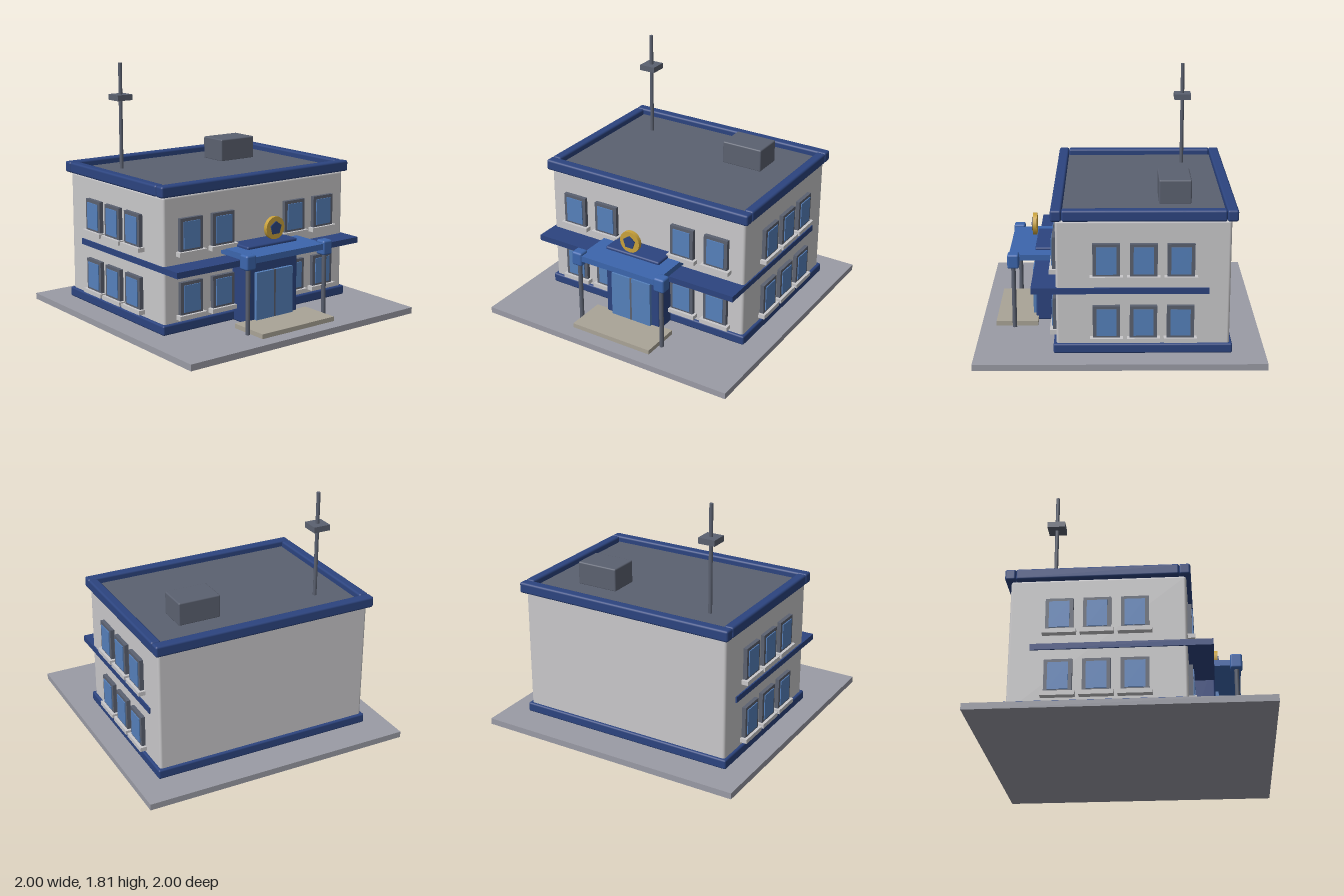
import * as THREE from 'three';
import { RoundedBoxGeometry } from 'three/addons/geometries/RoundedBoxGeometry.js';

const mat = (name, color) => {
  const m = new THREE.MeshStandardMaterial({ color });
  m.name = name;
  return m;
};

export function createModel() {
  const root = new THREE.Group();
  root.name = 'civicBuilding';
  const M = {
    paving: mat('paving grey', 0x9a9ba5),
    wall: mat('wall off-white', 0xc9c8ca),
    navy: mat('navy', 0x2c447f),
    blue: mat('canopy blue', 0x3c66ad),
    glass: mat('glass blue', 0x5580bb),
    slate: mat('slate grey', 0x5b6170),
    step: mat('step stone', 0xaaa497),
    gold: mat('gold', 0xc9a23c),
  };

  const add = (parent, name, geometry, material, x, y, z) => {
    const mesh = new THREE.Mesh(geometry, material);
    mesh.name = name;
    mesh.position.set(x, y, z);
    parent.add(mesh);
    return mesh;
  };
  // Box given by its [min, max] range on each axis; r > 0 softens the edges
  const block = (parent, name, material, [x0, x1], [y0, y1], [z0, z1], r = 0) => {
    const s = [x1 - x0, y1 - y0, z1 - z0];
    const g = r ? new RoundedBoxGeometry(...s, 2, r) : new THREE.BoxGeometry(...s);
    return add(parent, name, g, material, (x0 + x1) / 2, (y0 + y1) / 2, (z0 + z1) / 2);
  };

  // Ground slab, walls, plinth, ledge
  block(root, 'groundSlab', M.paving, [-1, 1], [0, 0.045], [-1, 1]);
  block(root, 'walls', M.wall, [-0.81, 0.81], [0.045, 1.0], [-0.75, 0.435], 0.018);
  block(root, 'plinth', M.navy, [-0.83, 0.83], [0.05, 0.12], [-0.77, 0.455], 0.012);
  block(root, 'ledge', M.navy, [-0.82, 0.82], [0.482, 0.525], [-0.605, 0.605]);

  // Roof and parapet
  block(root, 'roof', M.slate, [-0.79, 0.79], [0.985, 1.035], [-0.74, 0.42]);
  block(root, 'frontParapet', M.navy, [-0.84, 0.84], [1.0, 1.08], [0.39, 0.465], 0.015);
  block(root, 'backParapet', M.navy, [-0.84, 0.84], [1.0, 1.08], [-0.79, -0.715], 0.015);
  for (const s of [-1, 1]) {
    const p = block(root, 'sideParapet', M.navy, [-0.035, 0.035], [1.0, 1.08], [-0.715, 0.39], 0.015);
    p.position.x = s * 0.805;
  }

  // Rooftop unit and mast
  block(root, 'rooftopUnit', M.slate, [0.22, 0.535], [1.03, 1.2], [-0.495, -0.27], 0.01);
  add(root, 'mast', new THREE.CylinderGeometry(0.014, 0.014, 0.78, 8), M.slate, -0.54, 1.42, -0.485);
  block(root, 'mastBox', M.slate, [-0.603, -0.478], [1.54, 1.582], [-0.548, -0.423]);

  // Windows: outward direction is local +z
  const addWindow = (x, y, z, turn) => {
    const w = new THREE.Group();
    w.name = 'window';
    w.position.set(x, y, z);
    w.rotation.y = turn;
    block(w, 'windowFrame', M.slate, [-0.093, 0.093], [-0.118, 0.118], [-0.01, 0.029]);
    block(w, 'windowPane', M.glass, [-0.068, 0.068], [-0.095, 0.095], [0.028, 0.036]);
    block(w, 'windowSill', M.wall, [-0.113, 0.113], [-0.142, -0.111], [-0.01, 0.05]);
    root.add(w);
  };
  for (const y of [0.283, 0.727]) {
    for (const x of [-0.597, -0.323, 0.323, 0.597]) addWindow(x, y, 0.435, 0);
    for (const z of [0.092, -0.16, -0.412]) {
      for (const s of [-1, 1]) addWindow(s * 0.81, y, z, s * Math.PI / 2);
    }
  }

  // Entrance
  const entrance = new THREE.Group();
  entrance.name = 'entrance';
  root.add(entrance);
  block(entrance, 'porch', M.navy, [-0.225, 0.225], [0.047, 0.608], [0.4, 0.607], 0.012);
  block(entrance, 'step', M.step, [-0.325, 0.325], [0.04, 0.078], [0.59, 0.892]);
  block(entrance, 'canopy', M.blue, [-0.325, 0.325], [0.545, 0.588], [0.43, 0.79]);
  block(entrance, 'doorMullion', M.slate, [-0.008, 0.008], [0.078, 0.42], [0.6, 0.631]);
  for (const s of [-1, 1]) {
    const door = block(entrance, 'door', M.glass, [-0.078, 0.078], [0.078, 0.42], [0.6, 0.631]);
    door.position.x = s * 0.086;
    add(entrance, 'canopyPost', new THREE.CylinderGeometry(0.016, 0.016, 0.47, 8), M.slate, s * 0.345, 0.28, 0.757);
    const cap = block(entrance, 'postCap', M.blue, [-0.042, 0.042], [0.502, 0.608], [0.715, 0.798], 0.015);
    cap.position.x = s * 0.345;
  }

  // Round emblem with five-sided centre
  const disc = new THREE.CylinderGeometry(0.081, 0.081, 0.03, 16).rotateX(Math.PI / 2);
  add(entrance, 'emblemDisc', disc, M.gold, 0, 0.717, 0.617);
  const centre = new THREE.CylinderGeometry(0.05, 0.05, 0.009, 5).rotateY(Math.PI).rotateX(Math.PI / 2);
  add(entrance, 'emblemCentre', centre, M.navy, 0, 0.717, 0.636);

  return root;
}
